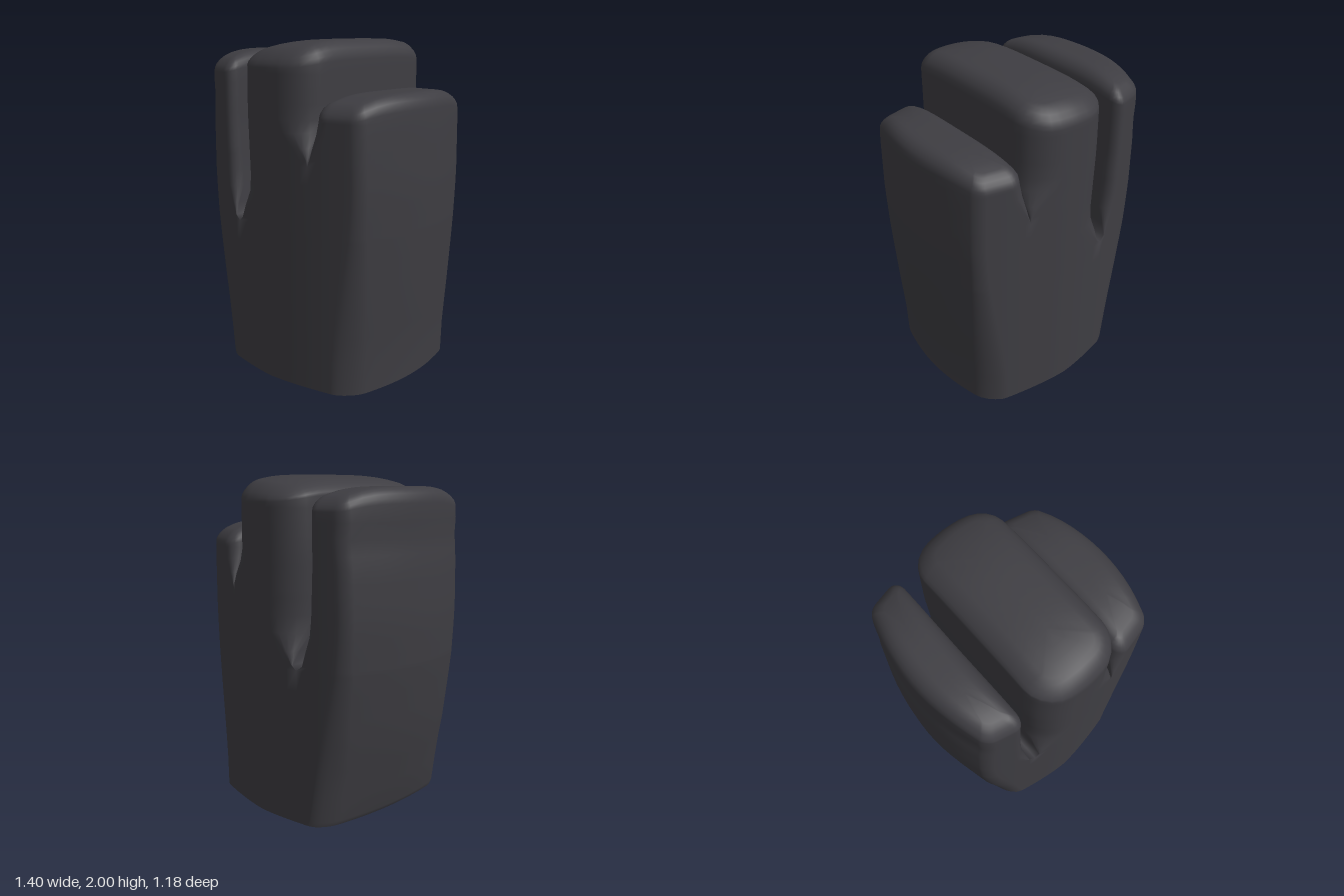
import * as THREE from 'three';
import { mergeVertices } from 'three/addons/utils/BufferGeometryUtils.js';

const DEPTH = 0.59, ARC = 5, FACE = 8, SIDE = 12;
const ROWS = [0, 0.03, 0.2, 0.35, 0.5, 0.65, 0.8, 0.92, 0.95, 1.02, 1.12, 1.22, 1.32, 1.36, 1.42, 1.5, 1.57, 1.66, 1.75, 1.82];

// Edge profiles as [height, x]
const rightOuter = [[0, -0.5], [0.03, -0.52], [0.5, -0.625], [0.9, -0.685], [1.2, -0.702], [1.5, -0.692], [1.65, -0.672], [1.75, -0.68], [1.93, -0.67]];
const rightInner = [[0.92, -0.285], [0.95, -0.325], [1.2, -0.35], [1.5, -0.365], [1.93, -0.365]];
const middleRight = [[0.92, -0.285], [0.95, -0.255], [1.2, -0.26], [1.6, -0.275], [2, -0.265]];
const middleLeft = [[1.32, 0.285], [1.42, 0.29], [1.6, 0.287], [2, 0.285]];
const leftInner = [[1.32, 0.285], [1.36, 0.296], [1.5, 0.306], [1.6, 0.315], [1.71, 0.32]];
const leftOuter = [[0, 0.625], [0.2, 0.63], [0.5, 0.655], [0.9, 0.683], [1.2, 0.695], [1.5, 0.688], [1.71, 0.678]];

// Each finger runs down into the palm; closed edges meet their neighbour below the crotch
const fingers = [
  { a: rightOuter, b: rightInner, crotchA: null, crotchB: 0.92, corner: 0.09, top: 1.935, round: 0.09, crown: 0 },
  { a: middleRight, b: middleLeft, crotchA: 0.92, crotchB: 1.32, corner: 0.17, top: 2, round: 0.11, crown: 0.4 },
  { a: leftInner, b: leftOuter, crotchA: 1.32, crotchB: null, corner: 0.1, top: 1.715, round: 0.09, crown: 0 },
];

function sample(table, y) {
  if (y <= table[0][0]) return table[0][1];
  for (let i = 1; i < table.length; i++) {
    const [y0, x0] = table[i - 1], [y1, x1] = table[i];
    if (y <= y1) return x0 + (x1 - x0) * (y - y0) / (y1 - y0);
  }
  return table[table.length - 1][1];
}

// Corner radius: softer towards the wrist on outer edges, opening gradually above a crotch
function radius(crotch, corner, y) {
  if (crotch === null) return 0.13 - 0.075 * THREE.MathUtils.smoothstep(y, 0, 1.2);
  return corner * THREE.MathUtils.smoothstep(y, crotch, crotch + 0.25);
}

// Bow the outer sides, then the front and back
function warp(x, z) {
  const bow = 0.14 * THREE.MathUtils.smoothstep(Math.abs(x), 0.3, 0.58) * (z / DEPTH) ** 2;
  const wx = x * (1 - bow);
  return [wx, z * (DEPTH - 0.24 * Math.abs(wx) ** 1.5) / DEPTH];
}

// Rounded-rectangle section, anticlockwise seen from above, starting on the front face;
// pinch draws it in towards the middle line of the finger
function section(finger, y, inset, height, pinch = 0) {
  const xa = sample(finger.a, y) + inset, xb = sample(finger.b, y) - inset, zd = DEPTH - inset;
  const shrink = (r) => (inset > 0 ? Math.max(r - inset, 0.04) : r);
  const ra = shrink(radius(finger.crotchA, finger.corner, y));
  const rb = shrink(radius(finger.crotchB, finger.corner, y));
  const corners = [[xa, zd, ra, -1, 1, Math.PI], [xb, zd, rb, 1, 1, -Math.PI / 2],
    [xb, -zd, rb, 1, -1, 0], [xa, -zd, ra, -1, -1, Math.PI / 2]];
  const arcs = corners.map(([x, z, r, sx, sz, start]) => Array.from({ length: ARC + 1 }, (_, i) => {
    const t = start + (i / ARC) * Math.PI / 2;
    return [x - sx * r + r * Math.cos(t), z - sz * r - r * Math.sin(t)];
  }));
  const points = [];
  for (let c = 0; c < 4; c++) {
    const from = arcs[c][ARC], next = arcs[(c + 1) % 4], n = c % 2 ? SIDE : FACE;
    for (let i = 0; i < n; i++) {
      points.push([from[0] + (next[0][0] - from[0]) * i / n, from[1] + (next[0][1] - from[1]) * i / n]);
    }
    points.push(...next.slice(0, ARC));
  }
  const middle = (xa + xb) / 2;
  return points.map(([px, pz]) => {
    const x = px + (middle - px) * pinch, z = pz * (1 - 0.4 * pinch);
    const [wx, wz] = warp(x, z);
    return [wx, height(x, z), wz];
  });
}

// Stack of sections from the base up over the rounded tip
function fingerRings(finger) {
  const { top, round, crown } = finger, shoulder = top - round, rings = [];
  for (const y of [...ROWS.filter((r) => r < shoulder - 0.05), shoulder]) {
    // The shoulder dips towards the front and back ends
    const dip = y === shoulder ? 0.04 : 0;
    rings.push({ y, points: section(finger, y, 0, (x, z) => y - dip * (z / DEPTH) ** 4) });
  }
  for (let k = 1; k <= 8; k++) {
    const t = Math.min(k / 5, 1) * Math.PI / 2, s = Math.sin(t), pinch = Math.max(0, (k - 5) / 3);
    const height = (x, z) => shoulder + round * s - crown * s * Math.max(0, 0.1 - x) ** 2
      - (0.04 + 0.04 * s) * (z / DEPTH) ** 4;
    rings.push({ y: top, points: section(finger, shoulder, round * (1 - Math.cos(t)), height, pinch) });
  }
  return rings;
}

function makeGeometry(corners) {
  const geometry = new THREE.BufferGeometry();
  geometry.setAttribute('position', new THREE.Float32BufferAttribute(corners.flat(), 3));
  const welded = mergeVertices(geometry, 1e-4);
  welded.computeVertexNormals();
  return welded;
}

export function createModel() {
  const charcoal = new THREE.MeshStandardMaterial({ color: 0x3e3d42 });
  const skin = [], base = [];
  const leftWall = FACE + ARC, rightWall = 2 * FACE + SIDE + 3 * ARC;

  for (const finger of fingers) {
    const rings = fingerRings(finger), n = rings[0].points.length;
    for (let i = 0; i < rings.length - 1; i++) {
      const low = rings[i].points, high = rings[i + 1].points, y = rings[i + 1].y;
      for (let j = 0; j < n; j++) {
        // Leave out the hidden walls inside the palm
        if (finger.crotchB !== null && y <= finger.crotchB && j >= leftWall && j < leftWall + SIDE) continue;
        if (finger.crotchA !== null && y <= finger.crotchA && j >= rightWall && j < rightWall + SIDE) continue;
        const k = (j + 1) % n;
        skin.push(low[j], low[k], high[k], low[j], high[k], high[j]);
      }
    }
    // Underside
    const foot = rings[0].points;
    const footCentre = [(foot[0][0] + foot[FACE][0]) / 2, 0, 0];
    for (let j = 0; j < n; j++) base.push(footCentre, foot[(j + 1) % n], foot[j]);
  }

  const group = new THREE.Group();
  group.name = 'threeFingeredHand';
  for (const [name, corners] of [['palmAndFingers', skin], ['wristBase', base]]) {
    const mesh = new THREE.Mesh(makeGeometry(corners), charcoal);
    mesh.name = name;
    group.add(mesh);
  }
  return group;
}
